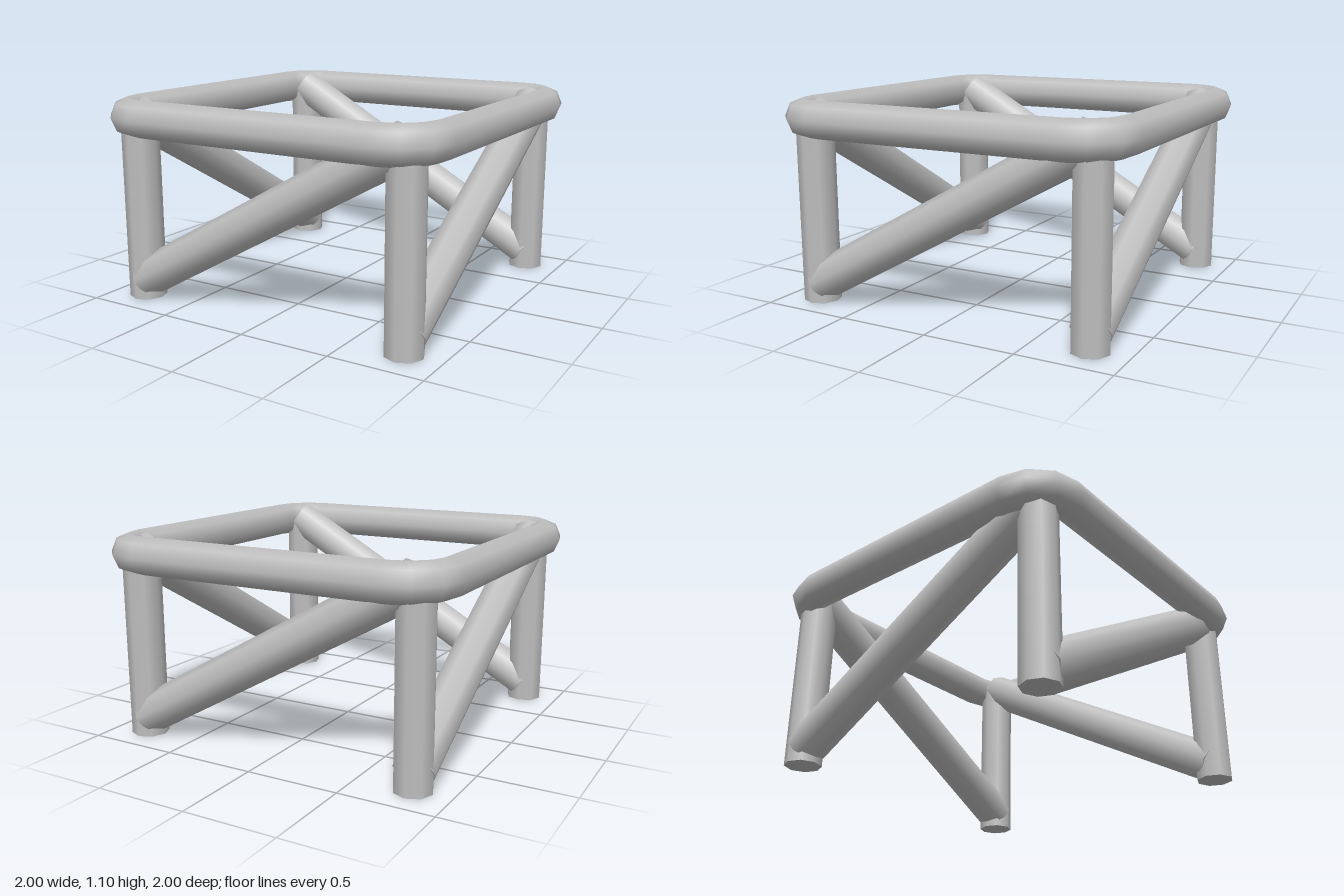
import * as THREE from 'three';

const SIDES = 8;

// Round bar closing into a square with rounded corners
function ringGeometry(half, bend, r, y, steps) {
  const pos = [], nor = [], idx = [];
  const stations = [];
  for (let q = 0; q < 4; q++) {
    const mid = (q + 0.5) * Math.PI / 2;
    const cx = Math.sign(Math.cos(mid)) * half, cz = Math.sign(Math.sin(mid)) * half;
    for (let i = 0; i <= steps; i++) stations.push([cx, cz, (q + i / steps) * Math.PI / 2]);
  }
  for (const [cx, cz, a] of stations) {
    for (let j = 0; j < SIDES; j++) {
      const t = j / SIDES * Math.PI * 2, d = bend + r * Math.cos(t);
      pos.push(cx + d * Math.cos(a), y + r * Math.sin(t), cz + d * Math.sin(a));
      nor.push(Math.cos(t) * Math.cos(a), Math.sin(t), Math.cos(t) * Math.sin(a));
    }
  }
  const n = stations.length;
  for (let i = 0; i < n; i++) {
    for (let j = 0; j < SIDES; j++) {
      const k = (j + 1) % SIDES, m = ((i + 1) % n) * SIDES;
      const a = i * SIDES + j, b = i * SIDES + k, c = m + k, d = m + j;
      idx.push(a, b, d, b, c, d);
    }
  }
  const g = new THREE.BufferGeometry();
  g.setAttribute('position', new THREE.Float32BufferAttribute(pos, 3));
  g.setAttribute('normal', new THREE.Float32BufferAttribute(nor, 3));
  g.setIndex(idx);
  return g;
}

export function createModel() {
  const model = new THREE.Group();
  model.name = 'tableFrame';
  const grey = new THREE.MeshStandardMaterial({ color: 0xbfbfbf });
  grey.name = 'grey';

  // Top rim
  const rim = new THREE.Mesh(ringGeometry(0.7, 0.2, 0.1, 1, 3), grey);
  rim.name = 'topRim';
  model.add(rim);

  const legGeo = new THREE.CylinderGeometry(0.1, 0.1, 1, SIDES);
  const low = new THREE.Vector3(-0.8, 0.1, 0.8), high = new THREE.Vector3(0.8, 1, 0.8);
  const braceGeo = new THREE.CylinderGeometry(0.11, 0.11, low.distanceTo(high), SIDES);
  const up = new THREE.Vector3(0, 1, 0);

  // One leg and one rising brace per side, turned around the frame
  for (let i = 0; i < 4; i++) {
    const side = new THREE.Group();
    side.name = 'side' + (i + 1);
    side.rotation.y = i * Math.PI / 2;

    const leg = new THREE.Mesh(legGeo, grey);
    leg.name = 'leg';
    leg.position.set(-0.8, 0.5, 0.8);

    const brace = new THREE.Mesh(braceGeo, grey);
    brace.name = 'diagonalBrace';
    brace.position.lerpVectors(low, high, 0.5);
    brace.quaternion.setFromUnitVectors(up, high.clone().sub(low).normalize());

    side.add(leg, brace);
    model.add(side);
  }
  return model;
}
